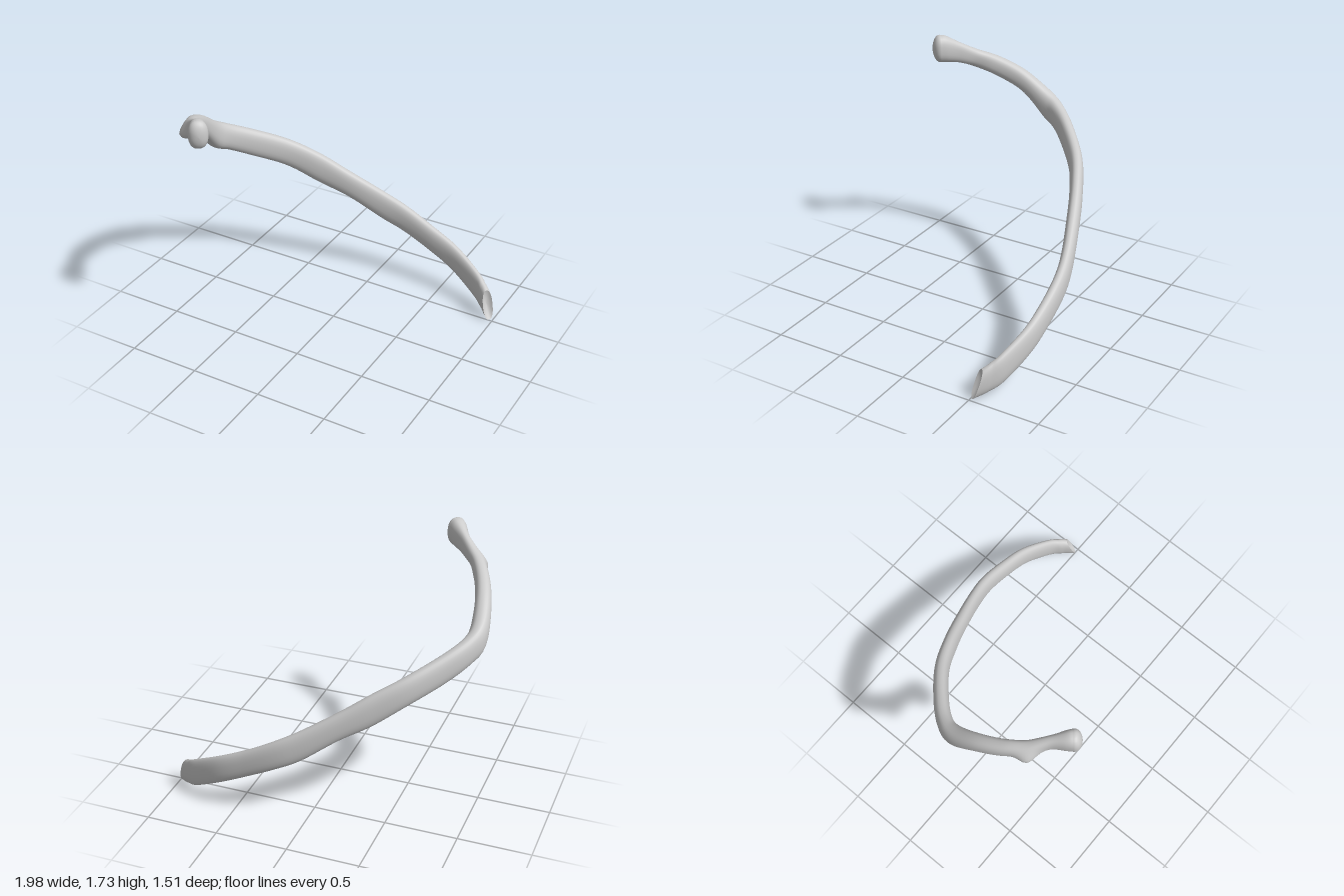
import * as THREE from 'three';
import { mergeVertices } from 'three/addons/utils/BufferGeometryUtils.js';

const SIDES = 28, STEPS = 150;

// Stations from the cut front end to the rounded head:
// centre x, y, z, section height, section thickness, forward lean of the top edge
const stations = [
  [0.95, 0.11, -0.53, 0.205, 0.075, 0.034],
  [0.89, 0.142, -0.58, 0.215, 0.07, 0.025],
  [0.80, 0.19, -0.635, 0.22, 0.068, 0.01],
  [0.60, 0.30, -0.698, 0.205, 0.078, 0],
  [0.40, 0.40, -0.712, 0.20, 0.084, 0],
  [0.20, 0.503, -0.705, 0.21, 0.086, 0],
  [0.03, 0.592, -0.667, 0.22, 0.086, 0],
  [-0.20, 0.74, -0.585, 0.205, 0.09, 0],
  [-0.40, 0.86, -0.502, 0.23, 0.092, 0],
  [-0.60, 0.985, -0.392, 0.21, 0.096, 0],
  [-0.79, 1.095, -0.222, 0.205, 0.10, 0],
  [-0.90, 1.175, -0.085, 0.20, 0.108, 0],
  [-0.935, 1.24, 0.03, 0.215, 0.122, 0],
  [-0.91, 1.385, 0.20, 0.165, 0.108, 0],
  [-0.848, 1.48, 0.37, 0.15, 0.098, 0],
  [-0.76, 1.545, 0.50, 0.135, 0.085, 0],
  [-0.67, 1.60, 0.59, 0.15, 0.075, 0],
  [-0.605, 1.632, 0.665, 0.19, 0.115, 0],
  [-0.575, 1.638, 0.70, 0.195, 0.13, 0],
];

const centre = new THREE.CatmullRomCurve3(
  stations.map(s => new THREE.Vector3(s[0], s[1], s[2])), false, 'catmullrom', 0.5);
const size = new THREE.CatmullRomCurve3(
  stations.map(s => new THREE.Vector3(s[3], s[4], s[5])), false, 'catmullrom', 0.5);

// One upright section; push moves it along the path, scale shrinks it
function ring(t, push = 0, scale = 1) {
  const c = centre.getPoint(t), s = size.getPoint(t);
  const along = centre.getTangent(t).setY(0).normalize();
  const across = new THREE.Vector3(along.z, 0, -along.x);
  const soft = v => Math.sign(v) * Math.abs(v) ** 0.85;
  const points = [];
  for (let i = 0; i < SIDES; i++) {
    const a = i / SIDES * Math.PI * 2;
    const u = soft(Math.cos(a)), v = soft(Math.sin(a));
    points.push(c.clone()
      .addScaledVector(across, u * s.y / 2 * scale)
      .addScaledVector(along, v * s.z * scale + push)
      .add(new THREE.Vector3(0, v * s.x / 2 * scale, 0)));
  }
  return points;
}

// Joins a list of rings into a skin
function loft(rings) {
  const pos = [], index = [];
  rings.forEach(r => r.forEach(p => pos.push(p.x, p.y, p.z)));
  for (let j = 0; j < rings.length - 1; j++) {
    for (let i = 0; i < SIDES; i++) {
      const k = (i + 1) % SIDES;
      const a = j * SIDES + i, b = j * SIDES + k, c = a + SIDES, d = b + SIDES;
      index.push(a, b, c, b, d, c);
    }
  }
  const g = new THREE.BufferGeometry();
  g.setAttribute('position', new THREE.Float32BufferAttribute(pos, 3));
  g.setIndex(index);
  return g;
}

export function createModel() {
  const group = new THREE.Group();
  group.name = 'rib';
  const material = new THREE.MeshStandardMaterial({ color: 0xcccccc, side: THREE.DoubleSide });
  const add = (name, geometry) => {
    geometry.computeVertexNormals();
    const mesh = new THREE.Mesh(geometry, material);
    mesh.name = name;
    group.add(mesh);
  };

  // Curved shaft, closed by a domed head
  const rings = [];
  for (let j = 0; j <= STEPS; j++) rings.push(ring(j / STEPS));
  for (let j = 1; j <= 8; j++) {
    const a = j / 8 * Math.PI / 2;
    rings.push(ring(1, 0.05 * Math.sin(a), Math.max(Math.cos(a), 0.001)));
  }
  const shaft = loft(rings);

  // Tubercle: a bump swelling from the outer side of the neck
  const p = shaft.attributes.position, v = new THREE.Vector3();
  const bump = new THREE.Vector3(-0.80, 1.51, 0.515);
  const outward = new THREE.Vector3(-0.65, -0.25, 0.5).normalize();
  for (let i = 0; i < p.count; i++) {
    v.fromBufferAttribute(p, i);
    const d = v.distanceTo(bump) / 0.065;
    v.addScaledVector(outward, 0.05 * Math.exp(-d * d));
    p.setXYZ(i, v.x, v.y, v.z);
  }
  add('shaftAndHead', mergeVertices(shaft));

  // Slightly hollow cut face at the front end
  add('cutEnd', loft([
    ring(0, 0.025, 0.001), ring(0, 0.022, 0.4), ring(0, 0.012, 0.75), ring(0, 0, 1),
  ]));
  return group;
}
